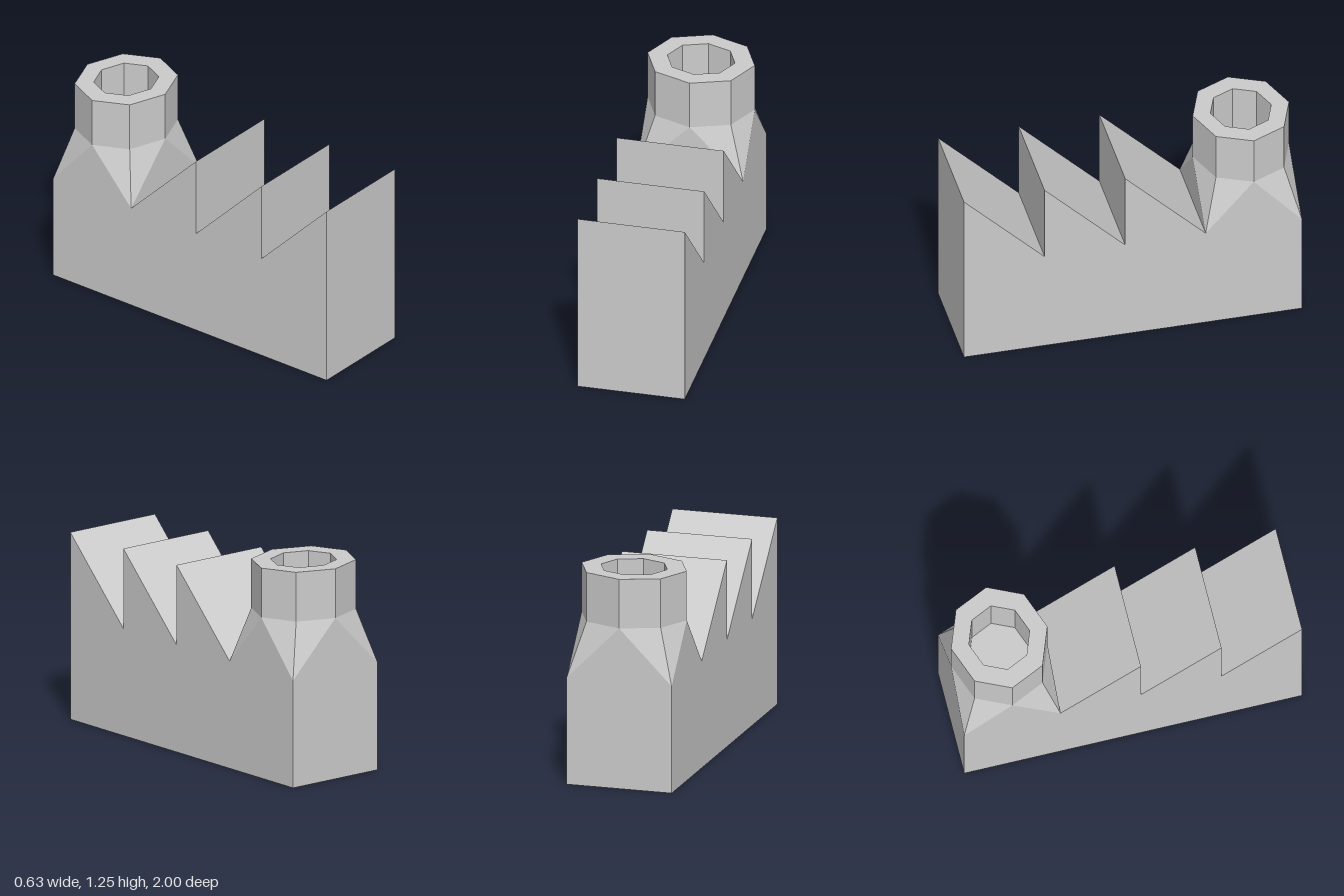
import * as THREE from 'three';

const HALF_W = 0.317, PITCH = 0.477, VALLEY = 0.637, PEAK = 1.113;
const STACK_Z = -0.715, STACK_R = 0.285;

const material = new THREE.MeshStandardMaterial({ color: 0xcccccc, flatShading: true });

// Eight points around the stack, starting at the front; corners = true gives a rectangle
function ring(rx, rz, y, corners = false) {
  return Array.from({ length: 8 }, (_, i) => {
    const t = i * Math.PI / 4;
    const k = corners && i % 2 ? Math.SQRT2 : 1;
    return [Math.sin(t) * rx * k, y, Math.cos(t) * rz * k];
  });
}

// Skin consecutive rings; the quad diagonal alternates so it always starts at a corner
function loft(rings) {
  const pos = [];
  for (let r = 0; r + 1 < rings.length; r++) {
    for (let i = 0; i < 8; i++) {
      const j = (i + 1) % 8;
      const a = rings[r][i], b = rings[r][j], c = rings[r + 1][j], d = rings[r + 1][i];
      const tris = i % 2 ? [a, b, c, a, c, d] : [a, b, d, b, c, d];
      pos.push(...tris.flat());
    }
  }
  const geo = new THREE.BufferGeometry();
  geo.setAttribute('position', new THREE.Float32BufferAttribute(pos, 3));
  geo.computeVertexNormals();
  return geo;
}

export function createModel() {
  const group = new THREE.Group();
  group.name = 'factory';

  // Hall with sawtooth roof: side profile extruded across the width
  const profile = new THREE.Shape();
  profile.moveTo(-1, 0);
  profile.lineTo(1, 0);
  for (let i = 0; i < 3; i++) {
    profile.lineTo(1 - i * PITCH, PEAK);
    profile.lineTo(1 - (i + 1) * PITCH, VALLEY);
  }
  profile.lineTo(-1, VALLEY);
  profile.closePath();
  const hallGeo = new THREE.ExtrudeGeometry(profile, { depth: 2 * HALF_W, bevelEnabled: false });
  hallGeo.rotateY(-Math.PI / 2);
  hallGeo.translate(HALF_W, 0, 0);
  const hall = new THREE.Mesh(hallGeo, material);
  hall.name = 'hall';
  group.add(hall);

  // Chimney: rectangular foot to octagonal stack, rim, then hollow flue
  const chimney = new THREE.Mesh(loft([
    ring(HALF_W, STACK_R, VALLEY, true),
    ring(HALF_W, STACK_R, 0.957),
    ring(HALF_W, STACK_R, 1.25),
    ring(0.2, 0.18, 1.25),
    ring(0.2, 0.18, 0.957),
    ring(0, 0, 0.957),
  ]), material);
  chimney.name = 'chimney';
  chimney.position.z = STACK_Z;
  group.add(chimney);

  return group;
}
